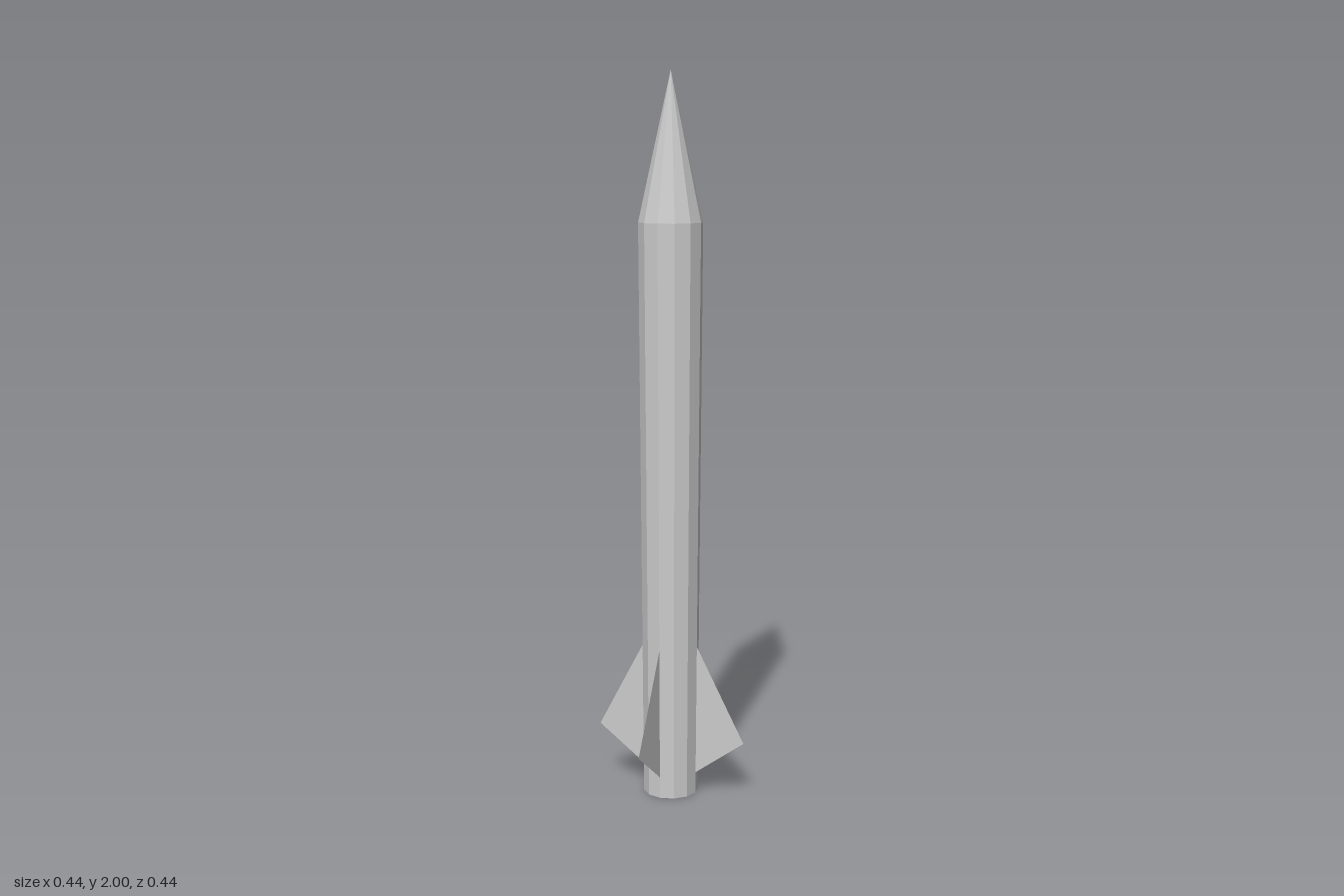
import * as THREE from 'three';

const SIDES = 12;
const material = new THREE.MeshStandardMaterial({ color: 0xcccccc, flatShading: true });
const finMaterial = new THREE.MeshStandardMaterial({
  color: 0xcccccc, flatShading: true, side: THREE.DoubleSide,
});

// Faceted part turned around the y axis from [radius, height] points
function turned(name, points) {
  const profile = points.map(([r, y]) => new THREE.Vector2(r, y));
  const mesh = new THREE.Mesh(new THREE.LatheGeometry(profile, SIDES), material);
  mesh.name = name;
  return mesh;
}

export function createModel() {
  const rocket = new THREE.Group();
  rocket.name = 'rocket';

  // Pointed nose, slightly tapering body, and recessed tail with a small cone
  rocket.add(
    turned('noseCone', [[0.088, 1.6], [0, 2]]),
    turned('body', [[0.076, 0], [0.088, 1.6]]),
    turned('exhaust', [[0, 0], [0.074, 0.035], [0.076, 0]]),
  );

  // Four thin fins around the tail
  const finShape = new THREE.Shape([
    new THREE.Vector2(0.076, 0.06),
    new THREE.Vector2(0.22, 0.165),
    new THREE.Vector2(0.078, 0.43),
  ]);
  const finGeometry = new THREE.ShapeGeometry(finShape);
  for (let i = 0; i < 4; i++) {
    const fin = new THREE.Mesh(finGeometry, finMaterial);
    fin.name = `fin${i + 1}`;
    fin.rotation.y = (i * Math.PI) / 2;
    rocket.add(fin);
  }
  return rocket;
}
